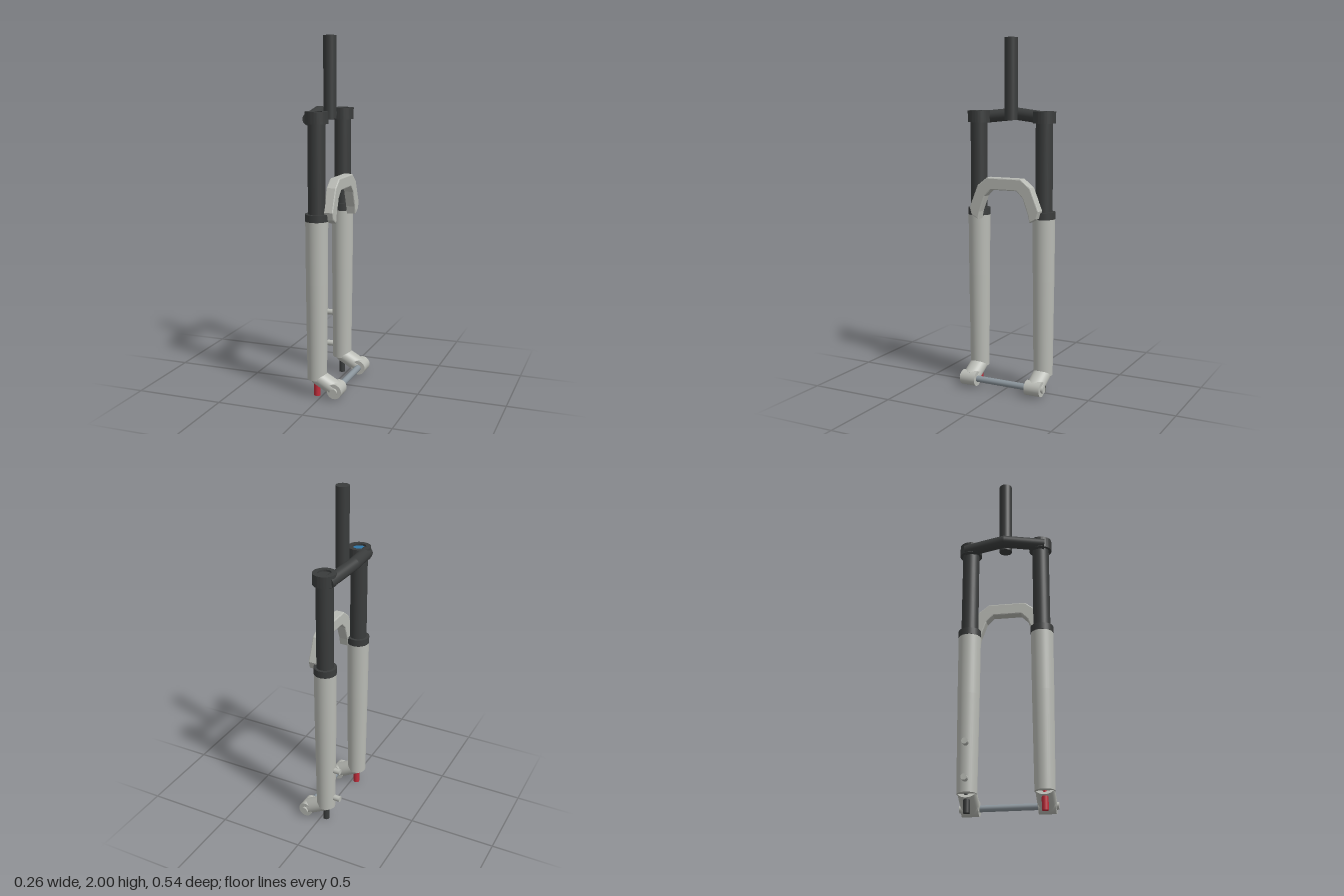
import * as THREE from 'three';
import { toCreasedNormals } from 'three/addons/utils/BufferGeometryUtils.js';

const material = (color) => new THREE.MeshStandardMaterial({ color });
const V = (x, y, z) => new THREE.Vector3(x, y, z);
const UP = V(0, 1, 0);

// Capped cylinder running from a to b
function rod(name, a, b, rA, rB, mat) {
  const dir = b.clone().sub(a);
  const mesh = new THREE.Mesh(new THREE.CylinderGeometry(rB, rA, dir.length(), 32), mat);
  mesh.name = name;
  mesh.position.copy(a).add(b).multiplyScalar(0.5);
  mesh.quaternion.setFromUnitVectors(UP, dir.normalize());
  return mesh;
}

export function createModel() {
  const model = new THREE.Group();
  model.name = 'suspensionFork';
  const black = material(0x3a3c3c);
  const silver = material(0xb8bab4);
  const steel = material(0x8a949b);
  const blue = material(0x2f77a8);
  const red = material(0xc02c3a);

  const legX = -0.03, legZ = 0.206;
  const axleX = 0.087, axleY = 0.05;

  // Steerer
  model.add(rod('steerer', V(legX, 1.545, 0), V(legX, 2, 0), 0.037, 0.037, black));

  // Bent crown tube
  const bend = V(-0.097, 1.578, 0);
  const joint = new THREE.Mesh(new THREE.SphereGeometry(0.035, 32, 20), black);
  joint.name = 'crownBend';
  joint.position.copy(bend);
  model.add(joint);

  // Ring that clamps the top of each leg
  const ringShape = new THREE.Shape().absarc(0, 0, 0.064, 0, Math.PI * 2);
  ringShape.holes.push(new THREE.Path().absarc(0, 0, 0.038, 0, Math.PI * 2, true));
  const ringGeometry = toCreasedNormals(new THREE.ExtrudeGeometry(ringShape,
    { depth: 0.065, bevelEnabled: false, curveSegments: 32 }), 0.6);
  ringGeometry.rotateX(-Math.PI / 2);

  for (const side of [1, -1]) {
    const z = side * legZ;
    const leg = new THREE.Group();
    leg.name = side > 0 ? 'leftLeg' : 'rightLeg';
    const upright = (name, y0, y1, r0, r1, mat) =>
      leg.add(rod(name, V(legX, y0, z), V(legX, y1, z), r0, r1, mat));

    leg.add(rod('crownArm', bend, V(-0.063, 1.554, side * 0.232), 0.035, 0.035, black));
    const clamp = new THREE.Mesh(ringGeometry, black);
    clamp.name = 'crownClamp';
    clamp.position.set(legX, 1.53, z);
    leg.add(clamp);

    // Telescoping tubes
    upright('topCap', 1.54, 1.584, 0.038, 0.038, side > 0 ? blue : black);
    upright('stanchion', 0.98, 1.578, 0.048, 0.048, black);
    upright('dustSeal', 1.0, 1.04, 0.064, 0.064, black);
    upright('lowerTubeTop', 0.65, 1.0, 0.061, 0.063, silver);
    upright('lowerTube', 0.1, 0.65, 0.055, 0.061, silver);
    upright('adjusterKnob', 0, 0.11, 0.018, 0.018, side > 0 ? red : black);

    // Dropout arm and axle hub
    const arm = rod('dropoutArm', V(-0.034, 0.116, z), V(0.085, axleY, z), 0.044, 0.044, silver);
    arm.scale.z = 1.18;
    leg.add(arm);
    leg.add(rod('axleHub', V(axleX, axleY, z - 0.047), V(axleX, axleY, z + 0.047), 0.042, 0.042, silver));
    leg.add(rod('axleBolt', V(axleX, axleY, side * 0.2), V(axleX, axleY, side * 0.267), 0.02, 0.02, silver));
    model.add(leg);
  }

  // Axle
  model.add(rod('axle', V(axleX, axleY, -0.21), V(axleX, axleY, 0.21), 0.018, 0.018, steel));

  // Brake mounting studs
  for (const y of [0.17, 0.365])
    model.add(rod('brakeMount', V(-0.123, y, -legZ), V(legX, y, -legZ), 0.017, 0.017, silver));

  // Brace arch: half outline, mirrored
  const bevel = 0.006;
  const outer = [[0.165, 0.992], [0.2, 1.012], [0.211, 1.05], [0.16, 1.175], [0.104, 1.219]];
  const inner = [[0.083, 1.163], [0.124, 1.122], [0.158, 1.03]];
  const flip = (points) => points.map(([u, y]) => [-u, y]).reverse();
  const outline = [...outer, ...flip(outer), ...flip(inner), ...inner];
  const archShape = new THREE.Shape(outline.map(([u, y]) => new THREE.Vector2(u, y)));
  const archGeometry = new THREE.ExtrudeGeometry(archShape, {
    depth: 0.058 - 2 * bevel, bevelThickness: bevel, bevelSize: bevel, bevelSegments: 2,
  });
  archGeometry.rotateY(Math.PI / 2);
  const arch = new THREE.Mesh(archGeometry, silver);
  arch.name = 'braceArch';
  arch.position.x = 0.01 + bevel;
  model.add(arch);

  return model;
}
